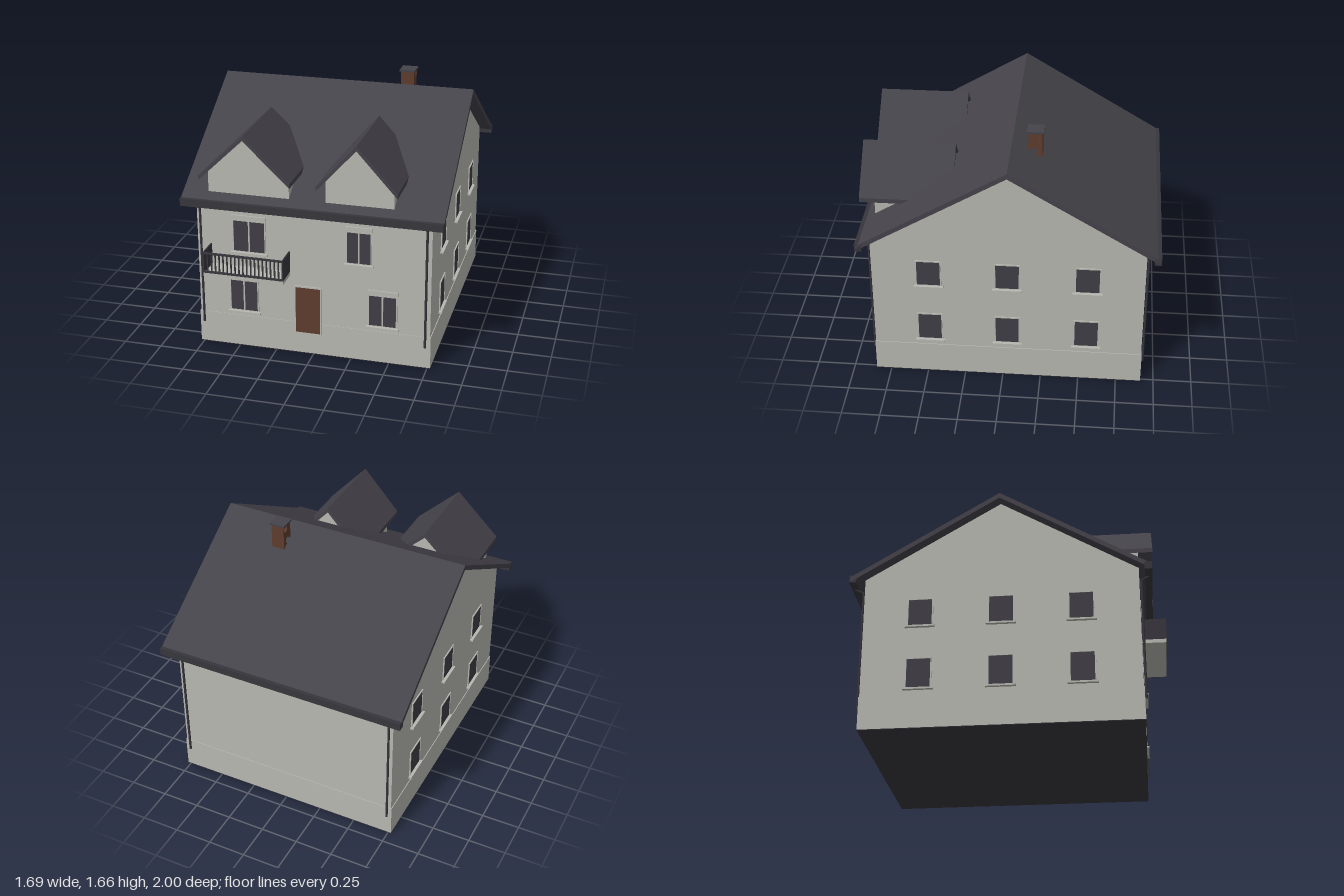
import * as THREE from 'three';

const mat = (name, color) => {
  const m = new THREE.MeshStandardMaterial({ color, side: THREE.DoubleSide });
  m.name = name;
  return m;
};

export function createModel() {
  const house = new THREE.Group();
  house.name = 'house';
  const wall = mat('plaster', 0xb8b8b1);
  const roofMat = mat('slate', 0x45434a);
  const metal = mat('dark metal', 0x38363d);
  const glass = mat('window glass', 0x403e45);
  const wood = mat('brown', 0x5e3d2d);

  const add = (name, geo, material, parent = house) => {
    const m = new THREE.Mesh(geo, material);
    m.name = name;
    parent.add(m);
    return m;
  };
  // box given by its extents on each axis
  const box = (name, material, x0, x1, y0, y1, z0, z1, parent = house) => {
    const m = add(name, new THREE.BoxGeometry(x1 - x0, y1 - y0, z1 - z0), material, parent);
    m.position.set((x0 + x1) / 2, (y0 + y1) / 2, (z0 + z1) / 2);
    return m;
  };
  const shapeOf = (pts) => new THREE.Shape(pts.map(([x, y]) => new THREE.Vector2(x, y)));
  const prism = (shape, depth) => new THREE.ExtrudeGeometry(shape, { depth, bevelEnabled: false });
  // outline in (z, y), extruded between x0 and x1
  const prismX = (shape, x0, x1) => prism(shape, x1 - x0).rotateY(-Math.PI / 2).translate(x1, 0, 0);

  // walls, plinth and floor
  const ZF = 0.845, ZB = -0.91, ZR = -0.035;
  add('walls', prismX(shapeOf([[ZB, 0.01], [ZF, 0.01], [ZF, 1.04], [ZR, 1.57], [ZB, 1.04]]), -0.765, 0.765), wall);
  box('plinth', wall, -0.77, 0.77, 0.004, 0.22, ZB - 0.004, ZF + 0.004);
  box('floorPlate', metal, -0.77, 0.77, 0, 0.004, ZB - 0.004, ZF + 0.004);

  // main roof: a folded slab
  add('mainRoof', prismX(shapeOf([
    [-0.99, 1.025], [ZR, 1.595], [0.92, 1.025], [0.92, 0.99], [ZR, 1.56], [-0.99, 0.99],
  ]), -0.845, 0.845), roofMat);

  // gutters and downpipes on both eaves
  for (const [side, zEave, zWall] of [[1, 0.905, ZF], [-1, -0.975, ZB]]) {
    const g = new THREE.Group();
    g.name = side > 0 ? 'frontGutter' : 'backGutter';
    house.add(g);
    box('gutter', metal, -0.845, 0.845, 0.985, 1.035, zEave - 0.023, zEave + 0.023, g);
    for (const x of [-0.74, 0.735]) {
      const zp = zWall + side * 0.012;
      const path = new THREE.CurvePath();
      const pts = [[1.0, zEave], [0.985, zEave], [0.955, zp], [0.15, zp]].map(([y, z]) => new THREE.Vector3(x, y, z));
      for (let i = 0; i < 3; i++) path.add(new THREE.LineCurve3(pts[i], pts[i + 1]));
      add('downpipe', new THREE.TubeGeometry(path, 60, 0.008, 8), metal, g);
    }
  }

  // dormers: gabled body under a folded slab
  const dormer = (name, cx, halfWall, halfRoof) => {
    const g = new THREE.Group();
    g.name = name;
    g.position.x = cx;
    house.add(g);
    add('dormerWalls', prism(shapeOf([
      [-halfWall, 1.04], [halfWall, 1.04], [halfWall, 1.21], [0, 1.46], [-halfWall, 1.21],
    ]), ZF - 0.36).translate(0, 0, 0.36), wall, g);
    add('dormerRoof', prism(shapeOf([
      [-halfRoof, 1.205], [0, 1.49], [halfRoof, 1.205], [halfRoof, 1.175], [0, 1.46], [-halfRoof, 1.175],
    ]), 0.6).translate(0, 0, 0.337), roofMat, g);
  };
  dormer('leftDormer', -0.415, 0.265, 0.297);
  dormer('rightDormer', 0.305, 0.218, 0.257);

  // chimney with round openings through its sides
  const chimney = new THREE.Group();
  chimney.name = 'chimney';
  house.add(chimney);
  for (const x of [0.34, 0.42]) {
    const s = shapeOf([[-0.225, 1.44], [-0.135, 1.44], [-0.135, 1.65], [-0.225, 1.65]]);
    for (const [z, y] of [[-0.198, 1.625], [-0.173, 1.53]]) {
      s.holes.push(new THREE.Path().absarc(z, y, 0.023, 0, Math.PI * 2, true));
    }
    add('chimneySide', prismX(s, x, x + 0.008), wood, chimney);
  }
  box('chimneyFront', wood, 0.34, 0.428, 1.44, 1.65, -0.143, -0.135, chimney);
  box('chimneyBack', wood, 0.34, 0.428, 1.44, 1.65, -0.225, -0.217, chimney);
  box('chimneyCap', roofMat, 0.332, 0.436, 1.65, 1.664, -0.234, -0.127, chimney);

  // window in local coordinates, facing +z, base at y = 0
  const makeWindow = (name, w, h, panes, lintel) => {
    const g = new THREE.Group();
    g.name = name;
    house.add(g);
    const a = w / 2, t = 0.008;
    box('pane', glass, -a, a, 0, h, -0.002, 0.004, g);
    if (panes === 2) box('mullion', wall, -0.005, 0.005, 0, h, 0, 0.008, g);
    for (const s of [-1, 1]) box('jamb', wall, s * (a + t / 2) - t / 2, s * (a + t / 2) + t / 2, 0, h, 0, t, g);
    box('head', wall, -a - t, a + t, h, h + t, 0, t, g);
    box('sill', wall, -a - 0.02, a + 0.02, -0.018, -0.006, 0, 0.022, g);
    if (lintel) box('lintel', wall, -a - 0.012, a + 0.012, h + 0.01, h + 0.038, 0, 0.01, g);
    return g;
  };
  for (const [name, x, y, w] of [
    ['upperLeftWindow', -0.417, 0.682, 0.205], ['upperRightWindow', 0.302, 0.682, 0.15],
    ['lowerLeftWindow', -0.46, 0.263, 0.178], ['lowerRightWindow', 0.457, 0.263, 0.175],
  ]) makeWindow(name, w, 0.208, 2, true).position.set(x, y, ZF + 0.003);

  // two rows of three windows on each side wall
  for (const s of [-1, 1]) for (const [y, h] of [[0.7, 0.177], [0.272, 0.192]]) for (const z of [0.477, -0.03, -0.545]) {
    const w = makeWindow('sideWindow', 0.15, h, 1, false);
    w.position.set(s * 0.765, y, z);
    w.rotation.y = s * Math.PI / 2;
  }

  // front door and its frame
  box('door', wood, -0.115, 0.048, 0.15, 0.47, ZF, ZF + 0.007);
  box('doorHead', wall, -0.125, 0.058, 0.47, 0.48, ZF, ZF + 0.009);
  for (const x of [-0.125, 0.048]) box('doorJamb', wall, x, x + 0.01, 0.15, 0.47, ZF, ZF + 0.009);

  // balcony with barred front and closed sides
  const balcony = new THREE.Group();
  balcony.name = 'balcony';
  house.add(balcony);
  const bx0 = -0.68, bx1 = -0.15;
  box('balconySlab', wall, bx0, bx1, 0.548, 0.572, ZF, 0.997, balcony);
  for (const y of [0.578, 0.706]) box('rail', metal, bx0, bx1, y - 0.006, y + 0.006, 0.988, 1.0, balcony);
  const bars = 20;
  for (let i = 0; i <= bars; i++) {
    const x = bx0 + 0.004 + (bx1 - bx0 - 0.008) * i / bars;
    box('bar', metal, x - 0.004, x + 0.004, 0.572, 0.71, 0.99, 0.998, balcony);
  }
  for (const x of [bx0, bx1 - 0.008]) box('sideRailing', metal, x, x + 0.008, 0.572, 0.712, ZF, 1.0, balcony);

  return house;
}
